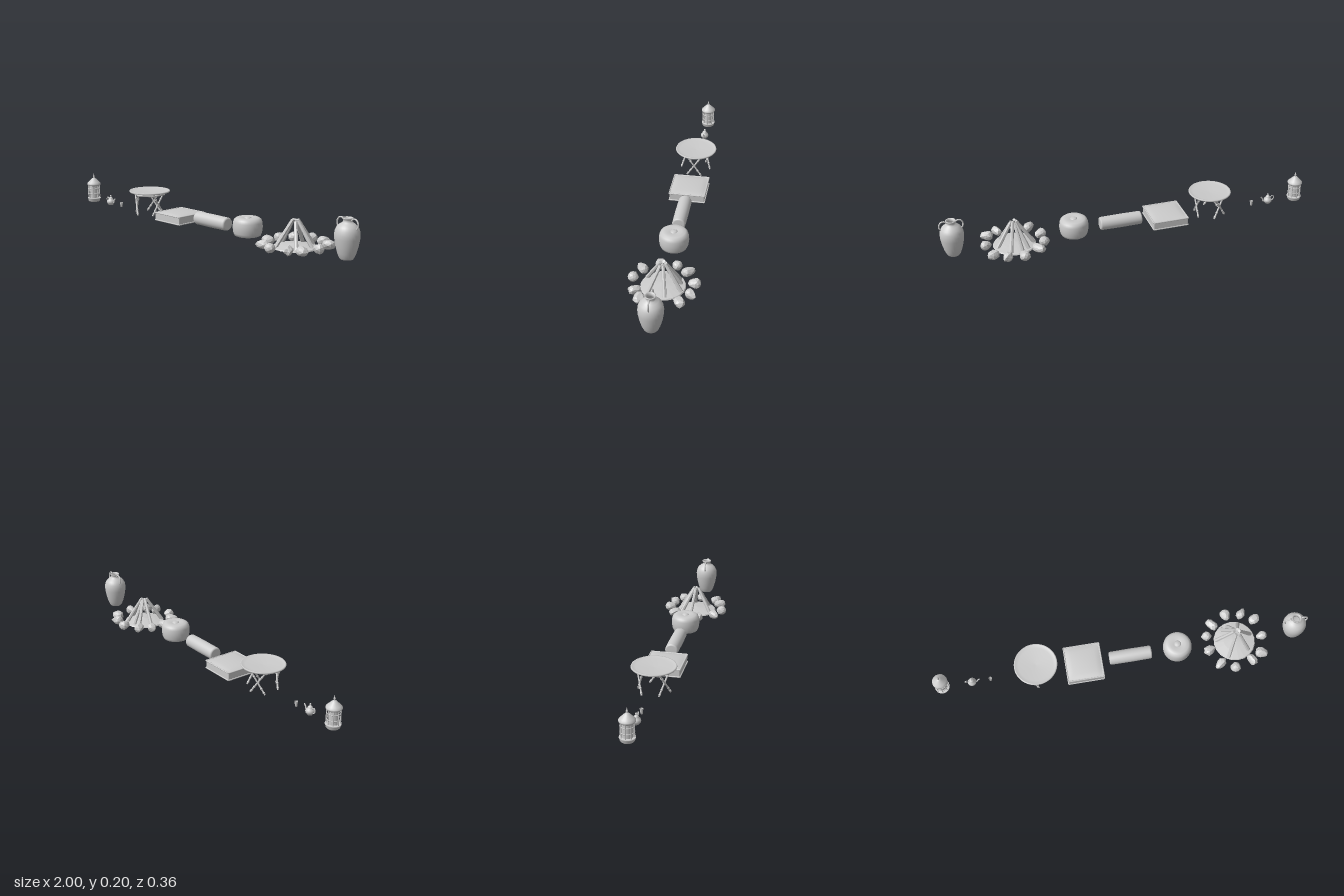
import * as THREE from 'three';
import { RoundedBoxGeometry } from 'three/addons/geometries/RoundedBoxGeometry.js';

const Z = -0.007; // shared centre line of the row
const smooth = new THREE.MeshStandardMaterial({ color: 0xcccccc, side: THREE.DoubleSide });
const flat = new THREE.MeshStandardMaterial({ color: 0xcccccc, flatShading: true });
const V = (x, y, z) => new THREE.Vector3(x, y, z);

function add(parent, name, geometry, x = 0, y = 0, z = 0, material = smooth) {
  const mesh = new THREE.Mesh(geometry, material);
  mesh.name = name;
  mesh.position.set(x, y, z);
  parent.add(mesh);
  return mesh;
}
function section(root, name, x) {
  const g = new THREE.Group();
  g.name = name;
  g.position.set(x, 0, Z);
  root.add(g);
  return g;
}
const lathe = (pts, n = 32) => new THREE.LatheGeometry(pts.map(([r, y]) => new THREE.Vector2(r, y)), n);
const tube = (pts, r, n = 20) => new THREE.TubeGeometry(new THREE.CatmullRomCurve3(pts), n, r, 8);

// Tapered rod between two points
function rod(parent, name, a, b, r0, r1 = r0, sides = 8, material = smooth) {
  const m = add(parent, name, new THREE.CylinderGeometry(r1, r0, a.distanceTo(b), sides), 0, 0, 0, material);
  m.position.copy(a).lerp(b, 0.5);
  m.quaternion.setFromUnitVectors(V(0, 1, 0), b.clone().sub(a).normalize());
  return m;
}

// Faceted stone: an icosphere with each direction pushed in or out by a rule
function stoneGeometry(seed) {
  const g = new THREE.IcosahedronGeometry(1, 1), p = g.attributes.position, v = V(0, 0, 0);
  for (let i = 0; i < p.count; i++) {
    v.fromBufferAttribute(p, i);
    const k = 0.95 + 0.09 * Math.sin(4.1 * v.x + seed * 2.3) + 0.07 * Math.sin(5.3 * v.z + 3.7 * v.y + seed);
    p.setXYZ(i, v.x * k, THREE.MathUtils.clamp(v.y * k, -0.9, 0.95), v.z * k);
  }
  g.computeVertexNormals();
  return g;
}

function buildLantern(root) {
  const g = section(root, 'lantern', -0.961);
  add(g, 'lanternBase', lathe([[0, 0.012], [0.03, 0.012], [0.035, 0.018], [0.035, 0.026], [0.039, 0.03], [0.039, 0.036], [0, 0.036]], 16));
  add(g, 'lanternGlass', new THREE.CylinderGeometry(0.027, 0.027, 0.075, 16, 1, true), 0, 0.073, 0);
  add(g, 'candle', new THREE.CylinderGeometry(0.01, 0.01, 0.04, 12), 0, 0.056, 0);
  for (let i = 0; i < 8; i++) {
    const a = i * Math.PI / 4;
    rod(g, 'lanternBar', V(0.033 * Math.cos(a), 0.034, 0.033 * Math.sin(a)), V(0.033 * Math.cos(a), 0.114, 0.033 * Math.sin(a)), 0.003);
  }
  for (const y of [0.06, 0.09]) add(g, 'lanternBand', new THREE.TorusGeometry(0.033, 0.0025, 6, 24), 0, y, 0).rotation.x = Math.PI / 2;
  add(g, 'lanternRoof', lathe([[0, 0.108], [0.036, 0.108], [0.04, 0.114], [0.04, 0.12], [0.033, 0.128], [0.022, 0.139], [0.013, 0.148], [0.007, 0.153], [0, 0.155]], 16));
  add(g, 'lanternFinial', lathe([[0.005, 0.15], [0.003, 0.157], [0.006, 0.162], [0.003, 0.168], [0, 0.18]], 12));
}

function buildTeaSet(root) {
  const g = section(root, 'teapot', -0.803);
  add(g, 'teapotBody', lathe([[0, 0.012], [0.013, 0.012], [0.014, 0.016], [0.021, 0.023], [0.023, 0.031], [0.02, 0.04], [0.012, 0.047], [0.013, 0.05], [0.009, 0.056], [0.003, 0.06], [0, 0.06]], 24));
  add(g, 'teapotKnob', new THREE.SphereGeometry(0.005, 12, 8), 0, 0.066, 0);
  add(g, 'teapotSpout', tube([V(0.018, 0.026, 0), V(0.028, 0.03, 0), V(0.032, 0.043, 0), V(0.041, 0.054, 0)], 0.0035));
  add(g, 'teapotHandle', tube([V(-0.014, 0.046, 0), V(-0.027, 0.055, 0), V(-0.035, 0.045, 0), V(-0.03, 0.03, 0), V(-0.02, 0.025, 0)], 0.0025));
  const c = section(root, 'cup', -0.705);
  add(c, 'cupWall', lathe([[0, 0.013], [0.006, 0.013], [0.0065, 0.022], [0.009, 0.041], [0.008, 0.041], [0.005, 0.017], [0, 0.017]], 16));
}

function buildTable(root) {
  const g = section(root, 'foldingTable', -0.454);
  add(g, 'trayTop', lathe([[0, 0.133], [0.09, 0.136], [0.111, 0.138], [0.114, 0.142], [0.112, 0.147], [0.107, 0.146], [0.09, 0.141], [0, 0.138]], 48));
  const rail = add(g, 'legRail', new THREE.TorusGeometry(0.085, 0.005, 8, 6), 0, 0.126, 0);
  rail.rotation.set(Math.PI / 2, 0, Math.PI / 6);
  // Three crossed pairs of legs set around a triangle
  for (let i = 0; i < 3; i++) {
    const pair = new THREE.Group();
    pair.name = 'crossedLegs';
    pair.rotation.y = i * Math.PI * 2 / 3;
    g.add(pair);
    for (const s of [-1, 1]) {
      const x = 0.072 + s * 0.003, foot = V(x, 0.014, -s * 0.04), head = V(x, 0.132, s * 0.04);
      rod(pair, 'leg', foot, head, 0.0045);
      for (const t of [0.08, 0.25, 0.75, 0.95]) {
        const p = foot.clone().lerp(head, t);
        add(pair, 'legBead', new THREE.SphereGeometry(0.0065, 10, 8), p.x, p.y, p.z);
      }
    }
    add(pair, 'pivot', new THREE.SphereGeometry(0.007, 10, 8), 0.072, 0.073, 0);
  }
}

function buildSeats(root) {
  // Square floor cushion with piping and softly domed faces
  const c = section(root, 'floorCushion', -0.203);
  const geo = new RoundedBoxGeometry(0.19, 0.042, 0.19, 2, 0.003);
  add(c, 'cushionBody', geo, 0, 0.037, 0);
  for (const s of [1, -1]) {
    const dome = new THREE.PlaneGeometry(0.188, 0.188, 12, 12), p = dome.attributes.position;
    dome.rotateX(-s * Math.PI / 2);
    for (let i = 0; i < p.count; i++) {
      const u = p.getX(i) / 0.094, w = p.getZ(i) / 0.094;
      p.setY(i, s * 0.009 * Math.sqrt(Math.max(0, (1 - u * u) * (1 - w * w))));
    }
    dome.computeVertexNormals();
    add(c, 'cushionPad', dome, 0, 0.037 + s * 0.02, 0);
    for (let k = 0; k < 4; k++) {
      const a = k * Math.PI / 2, y = 0.037 + s * 0.02, q = 0.096;
      const corner = (t) => V(q * Math.SQRT2 * Math.cos(t), y, q * Math.SQRT2 * Math.sin(t));
      rod(c, 'piping', corner(a + Math.PI / 4), corner(a + Math.PI * 3 / 4), 0.0035);
    }
  }
  // Bolster lying along x
  const b = section(root, 'bolster', 0.049);
  const roll = add(b, 'bolsterRoll', lathe([[0, -0.114], [0.026, -0.114], [0.032, -0.112], [0.035, -0.106], [0.036, 0], [0.035, 0.106], [0.032, 0.112], [0.026, 0.114], [0, 0.114]], 32), 0, 0.05, 0);
  roll.rotation.z = -Math.PI / 2;
  // Round pouf with a button
  const p = section(root, 'pouf', 0.303);
  add(p, 'poufBody', lathe([[0, 0.013], [0.055, 0.013], [0.067, 0.018], [0.073, 0.032], [0.077, 0.06], [0.075, 0.085], [0.07, 0.1], [0.058, 0.109], [0.04, 0.111], [0.022, 0.108], [0, 0.104]], 40));
  add(p, 'poufButton', lathe([[0.018, 0.104], [0.018, 0.108], [0.012, 0.112], [0, 0.113]], 20));
}

function buildCampfire(root) {
  const g = section(root, 'campfire', 0.62);
  add(g, 'ashMound', lathe([[0, 0.01], [0.112, 0.01], [0.108, 0.016], [0.06, 0.024], [0, 0.03]], 20), 0, 0, 0, new THREE.MeshStandardMaterial({ color: 0xcccccc, flatShading: true, side: THREE.DoubleSide }));
  // Leaning sticks
  [190, 232, 255, 292, 346, 45, 120].forEach((deg, i) => {
    const a = deg * Math.PI / 180, c = Math.cos(a), s = Math.sin(a), r = 0.1 - 0.006 * (i % 3);
    rod(g, 'stick', V(c * r, 0.016, s * r), V(c * 0.014, 0.148 - 0.004 * (i % 3), s * 0.014), 0.011, 0.008, 7, flat);
  });
  // Ring of stones: angle in degrees, distance from the centre
  const ring = [[-98, 0.153], [-66, 0.154], [-38, 0.162], [0, 0.149], [37, 0.158], [61, 0.145], [100, 0.155], [130, 0.155], [166, 0.15], [197, 0.153], [225, 0.149]];
  ring.forEach(([deg, d], i) => {
    const a = deg * Math.PI / 180;
    const stone = add(g, 'stone', stoneGeometry(i), d * Math.cos(a), 0.028, d * Math.sin(a), flat);
    stone.scale.set(0.034 + 0.003 * Math.sin(i * 2), 0.026, 0.026 + 0.003 * Math.cos(i * 3));
    stone.rotation.y = -a + 0.3 * Math.sin(i * 5);
  });
}

function buildJar(root) {
  const g = section(root, 'jar', 0.934);
  add(g, 'jarBody', lathe([[0, 0.01], [0.03, 0.01], [0.036, 0.018], [0.045, 0.04], [0.054, 0.073], [0.06, 0.108], [0.061, 0.128], [0.058, 0.148], [0.05, 0.165], [0.036, 0.178], [0.024, 0.185], [0.021, 0.192], [0.022, 0.199], [0.026, 0.202], [0.026, 0.207], [0.021, 0.207], [0.017, 0.198], [0.017, 0.186], [0.03, 0.175], [0.045, 0.155], [0.05, 0.12], [0.035, 0.03], [0, 0.02]], 32));
  for (const s of [-1, 1]) {
    add(g, 'jarHandle', tube([V(s * 0.02, 0.193, 0), V(s * 0.034, 0.204, 0), V(s * 0.05, 0.201, 0), V(s * 0.06, 0.185, 0), V(s * 0.059, 0.168, 0), V(s * 0.052, 0.157, 0)], 0.004));
  }
}

export function createModel() {
  const root = new THREE.Group();
  root.name = 'campFurnishings';
  buildLantern(root);
  buildTeaSet(root);
  buildTable(root);
  buildSeats(root);
  buildCampfire(root);
  buildJar(root);
  return root;
}
